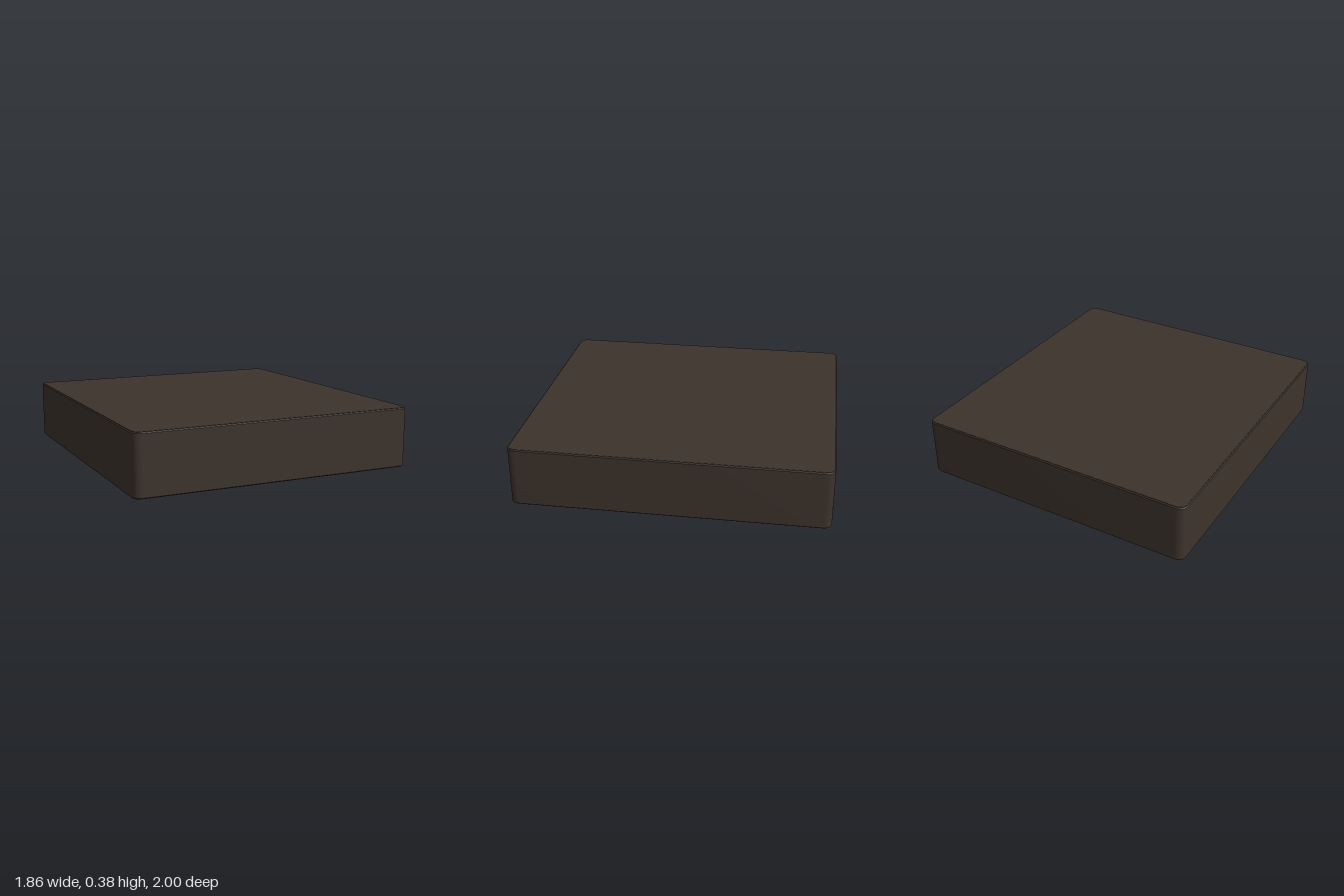
import * as THREE from 'three';
import { toCreasedNormals } from 'three/addons/utils/BufferGeometryUtils.js';

const HALF_X = 0.928, HALF_Z = 1, HEIGHT = 0.385, CEILING = 0.36, BEVEL = 0.006;

// Closed outline through [x, z] corners, each rounded by r
function roundOutline(corners, r, target) {
  const pts = corners.map(([x, z]) => new THREE.Vector2(x, -z));
  // Outlines run counter-clockwise, so that every face points outwards
  if (THREE.ShapeUtils.isClockWise(pts)) pts.reverse();
  pts.forEach((p, i) => {
    const prev = pts[(i + pts.length - 1) % pts.length];
    const next = pts[(i + 1) % pts.length];
    const a = p.clone().add(prev.clone().sub(p).setLength(r));
    const b = p.clone().add(next.clone().sub(p).setLength(r));
    if (i === 0) target.moveTo(a.x, a.y);
    else target.lineTo(a.x, a.y);
    target.quadraticCurveTo(p.x, p.y, b.x, b.y);
  });
  target.closePath();
  return target;
}

const rect = (x0, x1, z0, z1) => [[x0, z0], [x1, z0], [x1, z1], [x0, z1]];

// Extrude an outline upwards from y0 to y1
function slab(shape, y0, y1, bevel) {
  const geo = new THREE.ExtrudeGeometry(shape, {
    depth: y1 - y0 - 2 * bevel,
    bevelEnabled: bevel > 0,
    bevelThickness: bevel,
    bevelSize: bevel,
    bevelOffset: -bevel,
    bevelSegments: 1,
    curveSegments: 8,
  });
  geo.rotateX(-Math.PI / 2);
  geo.translate(0, y0 + bevel, 0);
  return toCreasedNormals(geo, 0.6);
}

export function createModel() {
  const group = new THREE.Group();
  group.name = 'compartmentTray';
  const darkBrown = new THREE.MeshStandardMaterial({ color: 0x3d332c });
  darkBrown.name = 'dark brown';

  // Compartments opening downwards, separated by thin dividers
  const compartments = [
    rect(0.035, 0.9, -0.86, -0.62),
    [[-0.9, -0.86], [0, -0.86], [0, -0.585], [0.9, -0.585], [0.9, -0.255], [-0.9, -0.255]],
    rect(-0.9, 0.9, -0.22, 0.085),
    [[0.9, 0.12], [0.9, 0.77], [-0.9, 0.77], [-0.9, 0.475], [-0.33, 0.475], [-0.33, 0.12]],
    rect(-0.9, -0.365, 0.12, 0.44),
  ];

  // Outer walls and dividers in one piece
  const outline = roundOutline(rect(-HALF_X, HALF_X, -HALF_Z, HALF_Z), 0.06, new THREE.Shape());
  outline.holes = compartments.map((c) => roundOutline(c, 0.02, new THREE.Path()));
  const walls = new THREE.Mesh(slab(outline, 0, HEIGHT - 0.002, BEVEL), darkBrown);
  walls.name = 'wallsAndDividers';

  // Flat panel closing the compartments
  const inset = BEVEL + 0.002;
  const panelShape = roundOutline(
    rect(-HALF_X + inset, HALF_X - inset, -HALF_Z + inset, HALF_Z - inset), 0.055, new THREE.Shape());
  const panel = new THREE.Mesh(slab(panelShape, CEILING, HEIGHT, 0), darkBrown);
  panel.name = 'topPanel';

  group.add(walls, panel);
  return group;
}
